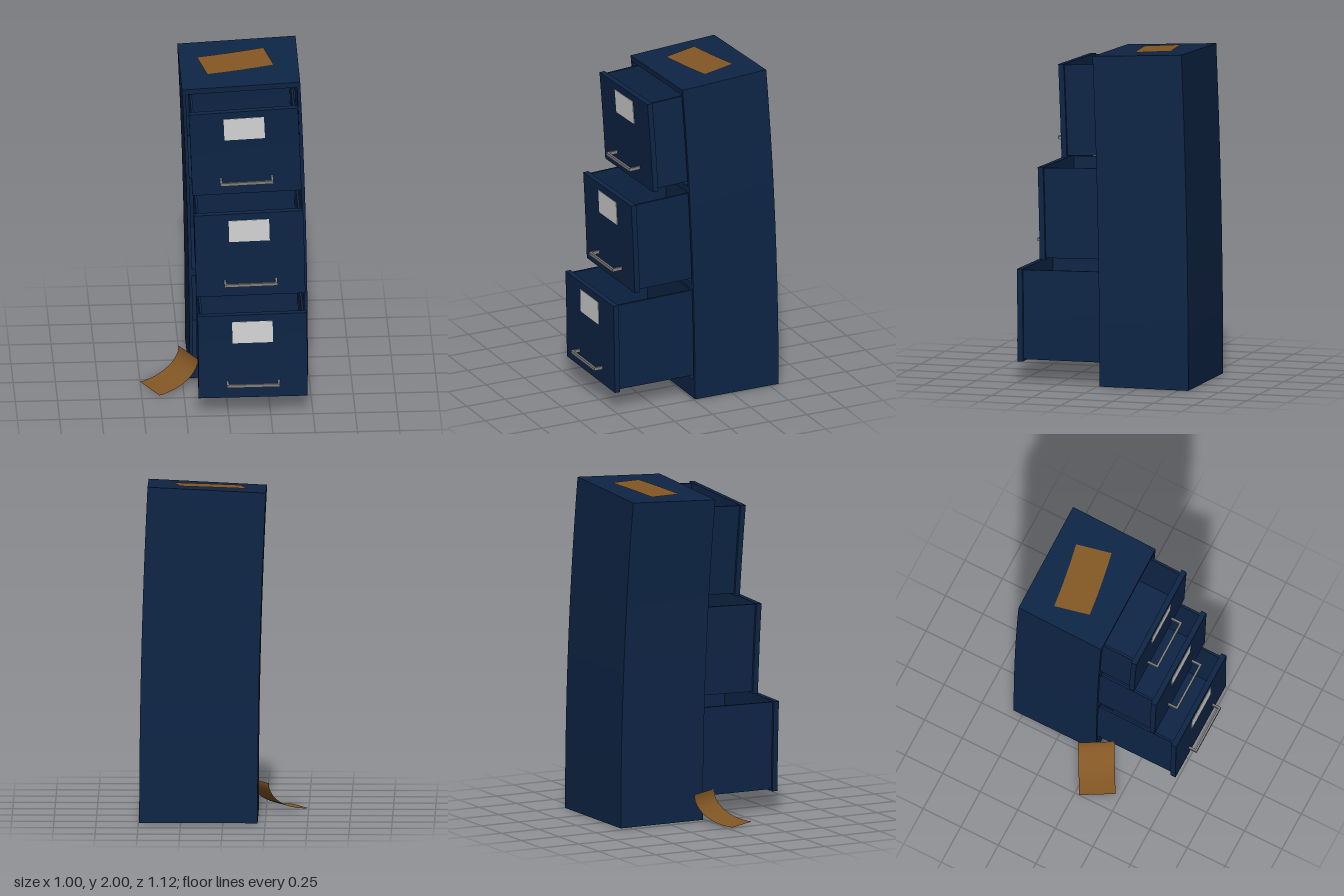
import * as THREE from 'three';

const navy = new THREE.MeshStandardMaterial({ color: 0x0e2546 });
navy.name = 'navy paint';
const steel = new THREE.MeshStandardMaterial({ color: 0x808080 });
steel.name = 'grey steel';
const card = new THREE.MeshStandardMaterial({ color: 0xd8d8d8 });
card.name = 'label card';
const manila = new THREE.MeshStandardMaterial({ color: 0x835724, side: THREE.DoubleSide });
manila.name = 'brown folder';

const CX = 0.145, CZ = -0.285, W = 0.7, D = 0.55, H = 1.966, T = 0.02;

// The whole cabinet leans progressively to its right and forward as it rises.
function bend(x, y, z) {
  return [
    x - 0.0125 * y * y,
    y + 0.025 * y * (x - CX) - 0.03 * y * (z - CZ),
    z + 0.015 * y * y,
  ];
}

function bendGeometry(geometry) {
  const p = geometry.attributes.position;
  for (let i = 0; i < p.count; i++) {
    p.setXYZ(i, ...bend(p.getX(i), p.getY(i), p.getZ(i)));
  }
  geometry.computeVertexNormals();
  return geometry;
}

// Box given by its limits in the straight cabinet, then bent.
function bentBox(name, material, x0, x1, y0, y1, z0, z1) {
  const segments = Math.max(1, Math.round((y1 - y0) / 0.14));
  const g = new THREE.BoxGeometry(x1 - x0, y1 - y0, z1 - z0, 1, segments, 1);
  g.translate((x0 + x1) / 2, (y0 + y1) / 2, (z0 + z1) / 2);
  const mesh = new THREE.Mesh(bendGeometry(g), material);
  mesh.name = name;
  return mesh;
}

// Sheet with a surface rule (u, v) -> [x, y, z].
function sheet(name, rule, nu, nv) {
  const g = new THREE.PlaneGeometry(1, 1, nu, nv);
  const p = g.attributes.position;
  for (let i = 0; i < p.count; i++) {
    p.setXYZ(i, ...rule(p.getX(i) + 0.5, p.getY(i) + 0.5));
  }
  g.computeVertexNormals();
  const mesh = new THREE.Mesh(g, manila);
  mesh.name = name;
  return mesh;
}

function createDrawer(base, front, reach) {
  const drawer = new THREE.Group();
  drawer.name = 'drawer';
  const top = base + 0.56, back = front - 0.033, rear = back - 0.5;
  const half = 0.307, wall = 0.014, low = base + 0.012, high = top - 0.006;

  drawer.add(bentBox('drawerFront', navy, CX - 0.323, CX + 0.323, base, top, back, front));

  // Open tray behind the front
  for (const s of [-1, 1]) {
    const a = CX + s * half, b = CX + s * (half - wall);
    drawer.add(bentBox('drawerSide', navy, Math.min(a, b), Math.max(a, b), low, high, rear, back));
  }
  drawer.add(bentBox('drawerFloor', navy, CX - half + wall, CX + half - wall, low, low + wall, rear, back));
  drawer.add(bentBox('drawerBack', navy, CX - half + wall, CX + half - wall, low + wall, high, rear, rear + wall));

  // Label plate
  drawer.add(bentBox('label', card, CX - 0.12, CX + 0.12, base + 0.37, base + 0.515, front, front + 0.003));

  // Pull handle: two posts and a bar
  const handle = new THREE.Group();
  handle.name = 'handle';
  const y0 = base + 0.092, y1 = base + 0.112, tip = front + reach;
  handle.add(bentBox('handleBar', steel, CX - 0.158, CX + 0.158, y0, y1, tip - 0.013, tip));
  for (const s of [-1, 1]) {
    const x = CX + s * 0.1515;
    handle.add(bentBox('handlePost', steel, x - 0.0065, x + 0.0065, y0, y1, front, tip - 0.013));
  }
  drawer.add(handle);
  return drawer;
}

export function createModel() {
  const model = new THREE.Group();
  model.name = 'filingCabinet';

  // Shell
  const shell = new THREE.Group();
  shell.name = 'cabinetShell';
  const x0 = CX - W / 2, x1 = CX + W / 2, z0 = CZ - D / 2, z1 = CZ + D / 2;
  shell.add(
    bentBox('sidePanel', navy, x0, x0 + T, 0, H, z0, z1),
    bentBox('sidePanel', navy, x1 - T, x1, 0, H, z0, z1),
    bentBox('backPanel', navy, x0 + T, x1 - T, 0, H, z0, z0 + T),
    bentBox('plinth', navy, x0 + T, x1 - T, 0, 0.117, z0 + T, z1),
    bentBox('topPanel', navy, x0 + T, x1 - T, H - 0.035, H, z0 + T, z1),
  );
  for (const y of [0.692, 1.309]) {
    shell.add(bentBox('divider', navy, x0 + T, x1 - T, y, y + 0.043, z0 + T, z1));
  }
  model.add(shell);

  // Drawers, the lowest pulled out the furthest
  const fronts = [0.504, 0.361, 0.212];
  const reaches = [0.054, 0.064, 0.07];
  fronts.forEach((front, i) => model.add(createDrawer(0.125 + i * 0.617, front, reaches[i])));

  // Folder lying on the top, following its slope
  const lean = bend(0, H, 0);
  model.add(sheet('topFolder', (u, v) => {
    const x = -0.147 + 0.397 * u + 0.051 * v;
    const z = -0.32 - 0.06 * u + 0.21 * v + 0.02 * u * (1 - u);
    const y = bend(x - lean[0], H, z - lean[2])[1];
    return [x, y + 0.005, z];
  }, 8, 1));

  // Folder on the floor, curling up against the side
  model.add(sheet('curledFolder', (u, v) => {
    const a = u * Math.PI / 2, t = Math.sin(a);
    return [
      -0.5 + 0.235 * t + 0.105 * v,
      0.002 + 0.168 * (1 - Math.cos(a)),
      0.03 - 0.13 * t + 0.187 * v,
    ];
  }, 14, 1));

  return model;
}
